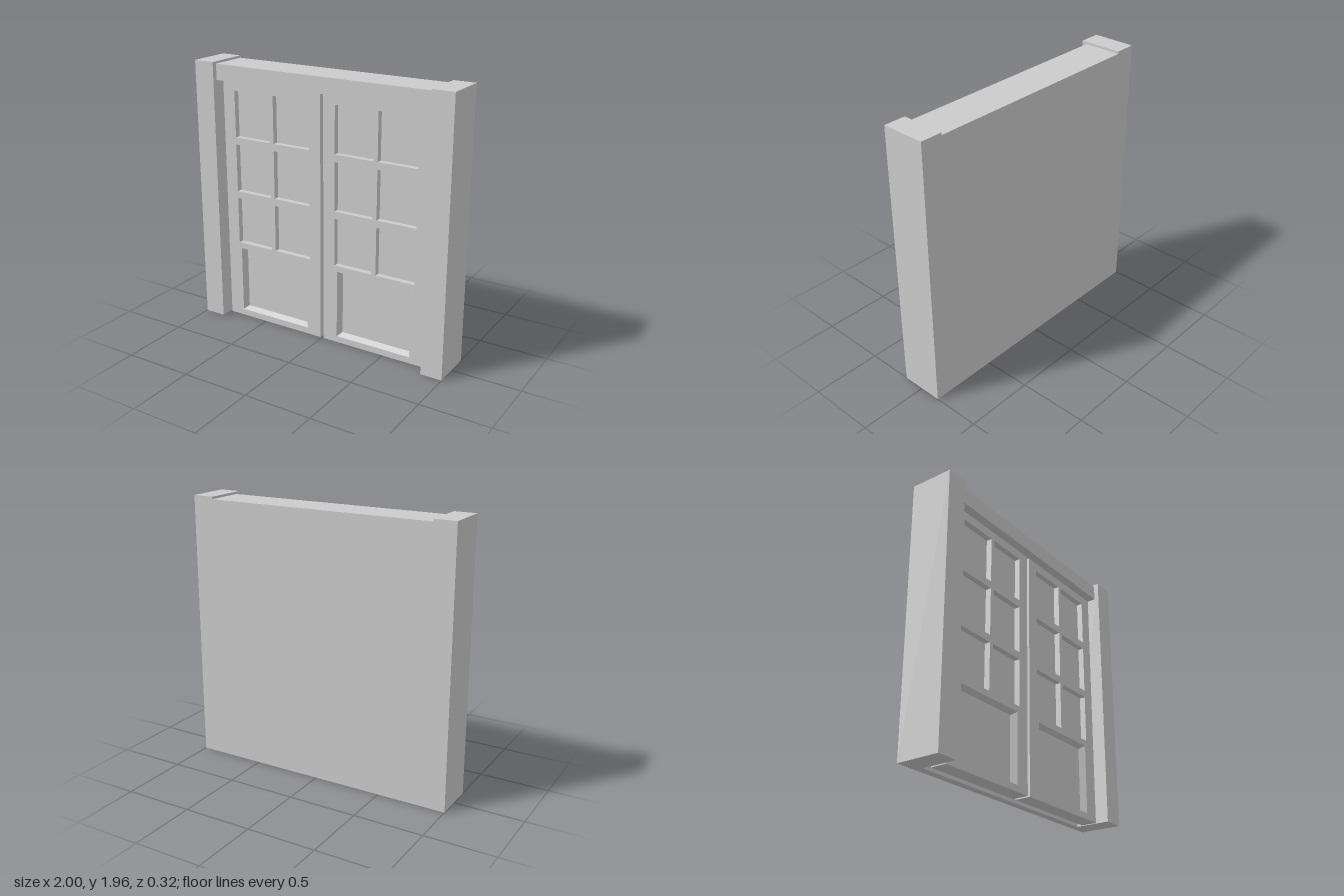
import * as THREE from 'three';

const material = new THREE.MeshStandardMaterial({ color: 0xcccccc, flatShading: true });

// Box given by its min and max corners
function block(name, [x0, y0, z0], [x1, y1, z1]) {
  const mesh = new THREE.Mesh(new THREE.BoxGeometry(x1 - x0, y1 - y0, z1 - z0), material);
  mesh.position.set((x0 + x1) / 2, (y0 + y1) / 2, (z0 + z1) / 2);
  mesh.name = name;
  return mesh;
}

// Counter-clockwise corners of a rectangle
const corners = (x0, y0, x1, y1) => [[x0, y0], [x1, y0], [x1, y1], [x0, y1]];
const points = (r) => corners(...r).map(([x, y]) => new THREE.Vector2(x, y));

// Sloping border between an outer front rectangle and an inner rear one
function bevelFrame(outer, zOuter, inner, zInner) {
  const o = corners(...outer), n = corners(...inner), pos = [];
  for (let i = 0; i < 4; i++) {
    const j = (i + 1) % 4;
    const a = [...o[i], zOuter], b = [...o[j], zOuter], c = [...n[j], zInner], d = [...n[i], zInner];
    pos.push(...a, ...b, ...c, ...a, ...c, ...d);
  }
  const geo = new THREE.BufferGeometry();
  geo.setAttribute('position', new THREE.Float32BufferAttribute(pos, 3));
  geo.computeVertexNormals();
  const mesh = new THREE.Mesh(geo, material);
  mesh.name = 'panelBevel';
  return mesh;
}

// One door leaf; side is +1 for the model's left, -1 for its right
function makeDoor(side) {
  const door = new THREE.Group();
  door.name = side > 0 ? 'leftDoor' : 'rightDoor';
  const zBack = -0.05, zRecess = 0.025, zFront = 0.068;
  const span = ([x0, y0, x1, y1]) => (side > 0 ? [x0, y0, x1, y1] : [-x1, y0, -x0, y1]);
  const leaf = span([0.012, 0, 0.826, 1.813]);
  const panel = span([0.125, 0.047, 0.712, 0.552]);
  const panelInner = span([0.149, 0.068, 0.688, 0.531]);

  // Solid back of the leaf, forming the floor of the window recesses
  door.add(block('doorCore', [leaf[0], leaf[1], zBack], [leaf[2], leaf[3], zRecess]));

  // Front layer pierced by six panes and the lower panel
  const shape = new THREE.Shape(points(leaf));
  for (const [x0, x1] of [[0.103, 0.4], [0.433, 0.73]])
    for (const [y0, y1] of [[0.597, 0.947], [1.0, 1.355], [1.408, 1.75]])
      shape.holes.push(new THREE.Path(points(span([x0, y0, x1, y1]))));
  shape.holes.push(new THREE.Path(points(panel)));
  const lattice = new THREE.Mesh(
    new THREE.ExtrudeGeometry(shape, { depth: zFront - zRecess, bevelEnabled: false }), material);
  lattice.position.z = zRecess;
  lattice.name = 'doorLattice';
  door.add(lattice);

  // Lower panel with sloped edges
  door.add(bevelFrame(panel, zFront, panelInner, zRecess));
  return door;
}

export function createModel() {
  const model = new THREE.Group();
  model.name = 'doubleDoor';
  const zBack = -0.158;

  // Frame: posts, lintel and rear wall
  model.add(block('leftPost', [0.842, 0, zBack], [1, 1.955, 0.158]));
  model.add(block('rightPost', [-1, 0, zBack], [-0.842, 1.955, 0.158]));
  model.add(block('lintel', [-0.842, 1.823, zBack], [0.842, 1.938, 0.122]));
  model.add(block('backWall', [-0.842, 0, zBack], [0.842, 1.823, -0.1]));

  for (const side of [-1, 1]) model.add(makeDoor(side));
  return model;
}
